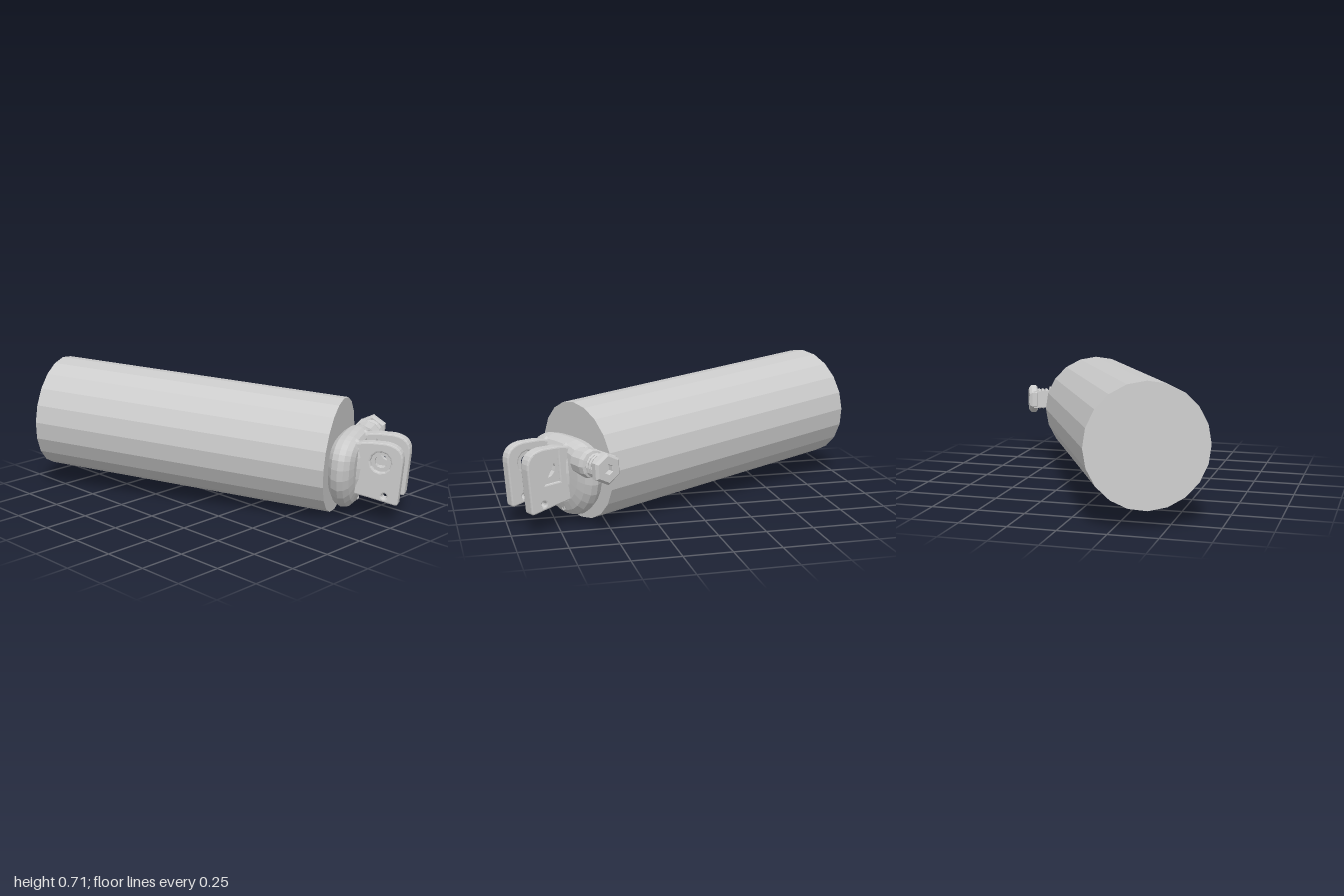
import * as THREE from 'three';

const material = new THREE.MeshStandardMaterial({ color: 0xcccccc, flatShading: true, side: THREE.DoubleSide });

function add(parent, name, geometry, x = 0, y = 0, z = 0) {
  const mesh = new THREE.Mesh(geometry, material);
  mesh.name = name;
  mesh.position.set(x, y, z);
  parent.add(mesh);
  return mesh;
}

function circle(r, x = 0, y = 0) {
  const p = new THREE.Path();
  p.absarc(x, y, r, 0, Math.PI * 2, true);
  return p;
}

function rect(w, h, x = 0, y = 0, Type = THREE.Path) {
  return new Type([[-1, -1], [1, -1], [1, 1], [-1, 1]].map(
    ([a, b]) => new THREE.Vector2(x + a * w / 2, y + b * h / 2)));
}

// D-shaped end cover: cross-sections stacked along x, round below and flatter on top
function coverGeometry() {
  const profile = [[0, 0], [0, 0.8], [0.025, 0.94], [0.06, 1], [0.09, 0.97],
    [0.115, 0.87], [0.13, 0.7], [0.135, 0.4], [0.136, 0]];
  const n = 28, pos = [], index = [];
  for (const [x, s] of profile) {
    for (let j = 0; j < n; j++) {
      const a = j / n * Math.PI * 2, c = Math.cos(a), d = Math.sin(a);
      const z = d > 0 ? Math.sign(c) * Math.abs(c) ** 0.68 : c;
      const y = d > 0 ? 0.145 * d ** 0.68 : 0.272 * d;
      pos.push(x, y * s, 0.27 * z * s);
    }
  }
  for (let i = 0; i < profile.length - 1; i++) {
    for (let j = 0; j < n; j++) {
      const a = i * n + j, b = i * n + (j + 1) % n;
      index.push(a, a + n, b, b, a + n, b + n);
    }
  }
  const g = new THREE.BufferGeometry();
  g.setAttribute('position', new THREE.Float32BufferAttribute(pos, 3));
  g.setIndex(index);
  g.computeVertexNormals();
  return g;
}

// Upright mounting lug with a bolt opening and a small pin hole
const BOLT = [0.25, 0.035];
function lugGeometry(opening, thickness) {
  const s = new THREE.Shape();
  s.moveTo(0.06, -0.15);
  s.lineTo(0.2, -0.165);
  s.lineTo(0.345, -0.185);
  s.quadraticCurveTo(0.36, -0.185, 0.36, -0.17);
  s.lineTo(0.366, 0.05);
  s.quadraticCurveTo(0.366, 0.135, 0.27, 0.14);
  s.lineTo(0.19, 0.135);
  s.quadraticCurveTo(0.14, 0.13, 0.06, 0.1);
  s.holes.push(opening, circle(0.014, 0.285, -0.143));
  const bevel = 0.008;
  return new THREE.ExtrudeGeometry(s, {
    depth: thickness - 2 * bevel, bevelThickness: bevel, bevelSize: bevel,
    bevelOffset: -bevel, bevelSegments: 2, curveSegments: 6,
  }).translate(0, 0, bevel);
}

// Floor of a recess, pierced by the bolt hole
function recessFloor(shape, holeRadius, depth) {
  shape.holes.push(circle(holeRadius, ...BOLT));
  return new THREE.ExtrudeGeometry(shape, { depth, bevelEnabled: false, curveSegments: 6 });
}

// Ring profile turned around z
function turned(points, sides) {
  return new THREE.LatheGeometry(points.map(([r, h]) => new THREE.Vector2(r, h)), sides)
    .rotateX(-Math.PI / 2);
}

export function createModel() {
  const model = new THREE.Group();
  model.name = 'cylinderWithBracket';

  // Everything is built along x, with the origin at the centre of the body's bracket end
  const unit = new THREE.Group();
  unit.name = 'unit';
  unit.position.set(0.625, 0.309, -0.28);
  unit.rotation.set(0, 0.4325, -0.0576, 'YZX');
  model.add(unit);

  add(unit, 'body', new THREE.CylinderGeometry(0.309, 0.309, 1.65, 20).rotateZ(Math.PI / 2), -0.825);
  add(unit, 'endCover', coverGeometry());

  // Small details on the cover face
  add(unit, 'coverBoss', new THREE.SphereGeometry(0.03, 10, 6), 0.13, 0.01, -0.015);
  add(unit, 'drainHole', new THREE.TorusGeometry(0.012, 0.005, 6, 10).rotateY(Math.PI / 2 - 0.1), 0.116, -0.225, -0.02);

  // Lugs: one with a square recess on its inner face, one with a round recess outside
  const lugs = new THREE.Group();
  lugs.name = 'lugs';
  unit.add(lugs);
  add(lugs, 'rearLug', lugGeometry(rect(0.135, 0.16, ...BOLT), 0.065), 0, 0, -0.111);
  add(lugs, 'rearLugRecessFloor',
    recessFloor(rect(0.153, 0.178, ...BOLT, THREE.Shape), 0.05, 0.03), 0, 0, -0.102);
  add(lugs, 'frontLug', lugGeometry(circle(0.055, ...BOLT), 0.056), 0, 0, 0.075);
  const floor = new THREE.Shape();
  floor.absarc(...BOLT, 0.063, 0, Math.PI * 2, false);
  add(lugs, 'frontLugRecessFloor', recessFloor(floor, 0.035, 0.025), 0, 0, 0.084);

  // Rounded root pads where the lugs meet the cover
  for (const z of [-0.078, 0.103]) {
    const pad = add(lugs, 'lugRoot', new THREE.SphereGeometry(1, 12, 8), 0.11, -0.015, z);
    pad.scale.set(0.05, 0.15, 0.05);
  }

  // Side fitting: neck, threads and end nut running along -z
  const fitting = new THREE.Group();
  fitting.name = 'sideFitting';
  fitting.position.set(0.085, 0.055, 0);
  unit.add(fitting);
  add(fitting, 'neck', turned([[0, 0.16], [0.07, 0.17], [0.076, 0.25], [0.07, 0.275], [0.05, 0.28], [0, 0.28]], 12));
  add(fitting, 'threadCore', turned([[0.048, 0.26], [0.048, 0.36]], 12));
  for (let i = 0; i < 3; i++) {
    add(fitting, 'thread', new THREE.TorusGeometry(0.053, 0.01, 6, 14), 0, 0, -0.295 - i * 0.022);
  }
  add(fitting, 'sideStrip', new THREE.BoxGeometry(0.035, 0.1, 0.2), -0.047, 0, -0.28);
  add(fitting, 'endNut', turned([[0.025, 0.35], [0.07, 0.35], [0.082, 0.36], [0.082, 0.388],
    [0.068, 0.402], [0.028, 0.402], [0.025, 0.398], [0.025, 0.35]], 6));
  add(fitting, 'nutBore', new THREE.CircleGeometry(0.026, 12), 0, 0, -0.37);

  return model;
}
